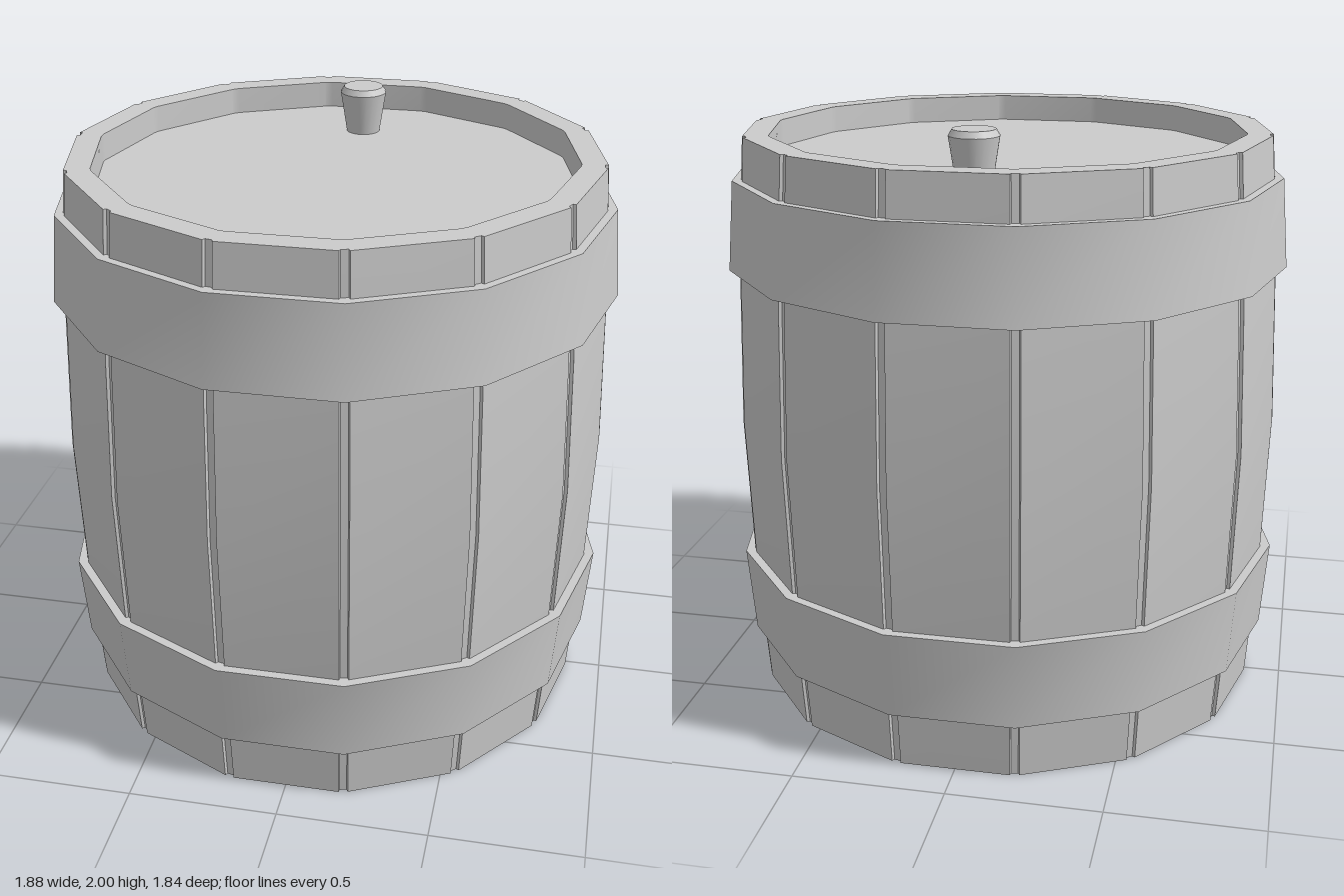
import * as THREE from 'three';
import { toCreasedNormals } from 'three/addons/utils/BufferGeometryUtils.js';

const SIDES = 14;
const STEP = (Math.PI * 2) / SIDES;
const RIM = 0.795, TOP = 1.93, RECESS = 0.09;

const corner = (i, r, y) =>
  new THREE.Vector3(Math.cos(i * STEP) * r, y, Math.sin(i * STEP) * r);

// Plain 14-sided section
function plainRing(r, y) {
  return Array.from({ length: SIDES }, (_, i) => corner(i, r, y));
}

// Section with a narrow groove of the given depth at every corner
function staveRing(r, y, depth) {
  const half = 0.016, ring = [];
  for (let i = 0; i < SIDES; i++) {
    const c = corner(i, r, y);
    const toPrev = corner(i - 1, r, y).sub(c).normalize();
    const toNext = corner(i + 1, r, y).sub(c).normalize();
    const inward = corner(i, -depth, 0);
    const at = (dir, t) => c.clone().addScaledVector(dir, t);
    ring.push(
      at(toPrev, half),
      at(toPrev, half * 0.75).add(inward),
      at(toNext, half * 0.75).add(inward),
      at(toNext, half)
    );
  }
  return ring;
}

// Skin joining successive rings
function loft(rings, crease) {
  const n = rings[0].length, index = [];
  for (let j = 0; j < rings.length - 1; j++) {
    for (let i = 0; i < n; i++) {
      const a = j * n + i, b = j * n + ((i + 1) % n);
      index.push(a, a + n, b, b, a + n, b + n);
    }
  }
  const geometry = new THREE.BufferGeometry().setFromPoints(rings.flat());
  geometry.setIndex(index);
  return toCreasedNormals(geometry, crease);
}

export function createModel() {
  const model = new THREE.Group();
  const material = new THREE.MeshStandardMaterial({ color: 0xcccccc });
  const add = (name, geometry, parent = model) => {
    const mesh = new THREE.Mesh(geometry, material);
    mesh.name = name;
    parent.add(mesh);
    return mesh;
  };

  // Bulging staves with grooves, turned in over both rims
  const bulge = [
    [0.88, 0], [0.895, 0.2], [0.912, 0.49], [0.928, TOP / 2],
    [0.912, TOP - 0.49], [0.895, TOP - 0.2], [0.88, TOP],
  ];
  add('staves', loft([
    staveRing(RIM, RECESS, 0),
    staveRing(RIM, 0, 0),
    ...bulge.map(([r, y]) => staveRing(r, y, 0.011)),
    staveRing(RIM, TOP, 0),
    staveRing(RIM, TOP - RECESS, 0),
  ], 0.3));

  // Recessed end panels
  const panel = new THREE.CylinderGeometry(RIM, RIM, 0.04, SIDES, 1, false, Math.PI / 2);
  add('lid', panel).position.y = TOP - RECESS - 0.02;
  add('bottomPanel', panel).position.y = RECESS + 0.02;

  // Hoops, widest towards the middle of the barrel
  const hoop = (name, y0, r0, y1, r1) => add(name, loft([
    plainRing(0.86, y0), plainRing(r0, y0), plainRing(r1, y1), plainRing(0.86, y1),
  ], 0.6));
  hoop('lowerHoop', 0.195, 0.918, 0.49, 0.942);
  hoop('upperHoop', 1.495, 0.942, 1.79, 0.918);

  // Tapered plug with a bevelled top
  const plug = new THREE.Group();
  plug.name = 'plug';
  plug.position.z = -0.51;
  add('plugBody', new THREE.CylinderGeometry(0.08, 0.058, 0.14, 20, 1, true), plug).position.y = 1.91;
  add('plugTop', new THREE.CylinderGeometry(0.068, 0.08, 0.02, 20), plug).position.y = 1.99;
  model.add(plug);

  return model;
}
